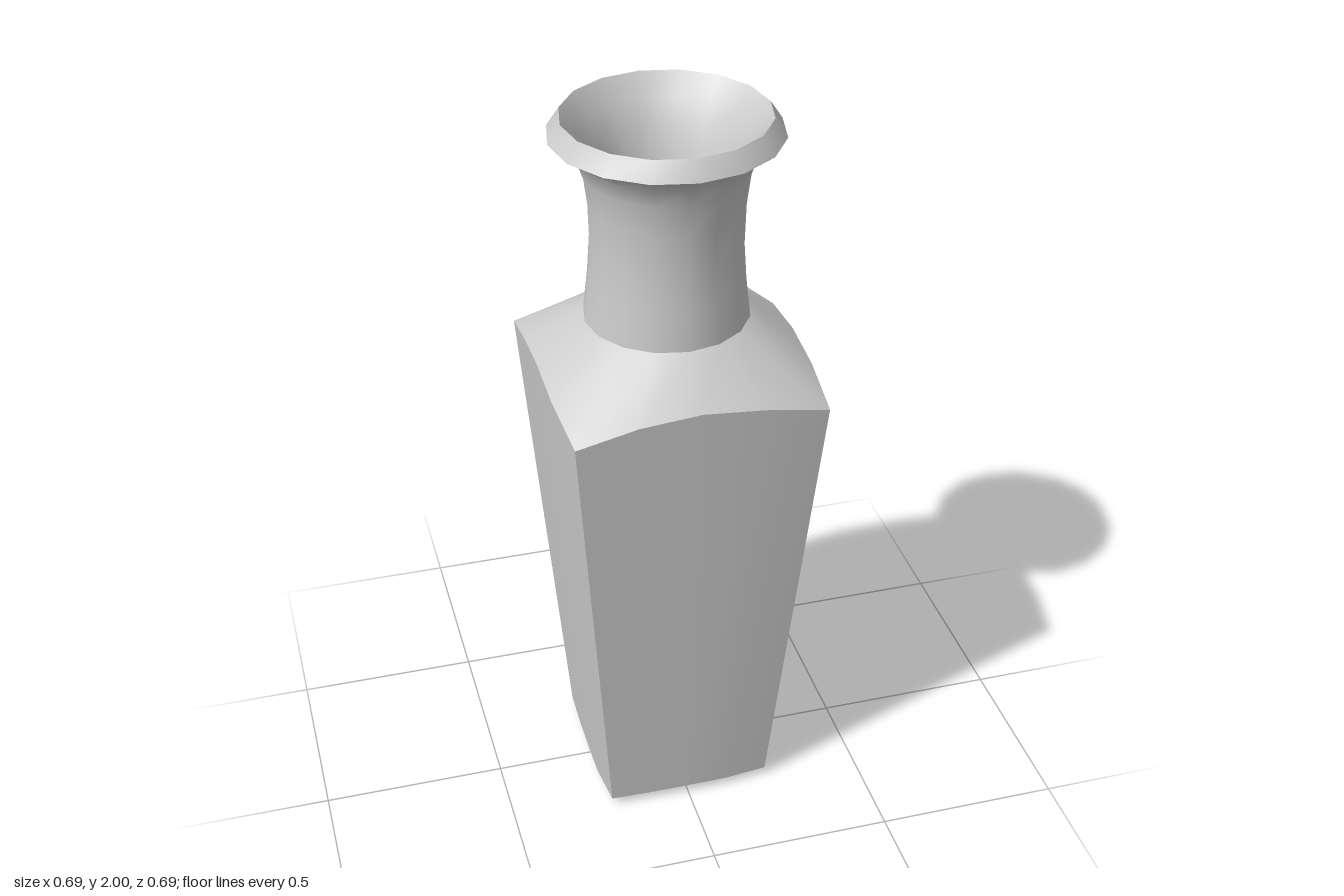
import * as THREE from 'three';
import { toCreasedNormals } from 'three/addons/utils/BufferGeometryUtils.js';

const SIDES = 16;

// Round cross-section
function round(r, y) {
  return Array.from({ length: SIDES }, (_, i) => {
    const a = (i / SIDES) * Math.PI * 2;
    return new THREE.Vector3(Math.sin(a) * r, y, Math.cos(a) * r);
  });
}

// Slightly bulging, slightly skewed square cross-section; drop lowers the corners
function square(scale, y, drop = 0) {
  const quarter = [[0.343, 0, 0], [0.342, 0.162, 0.27], [0.323, 0.337, 1], [0.162, 0.342, 0.27]];
  return Array.from({ length: SIDES }, (_, i) => {
    const [out, along, low] = quarter[i % 4];
    const a = Math.floor(i / 4) * Math.PI / 2;
    const s = Math.sin(a), c = Math.cos(a);
    return new THREE.Vector3((s * out + c * along) * scale, y - low * drop, (c * out - s * along) * scale);
  });
}

// Skin a stack of cross-sections, keeping sharp edges
function loft(rings) {
  const pos = [];
  const tri = (a, b, c) => {
    if (a.distanceTo(b) > 1e-6 && b.distanceTo(c) > 1e-6 && c.distanceTo(a) > 1e-6) {
      for (const p of [a, b, c]) pos.push(p.x, p.y, p.z);
    }
  };
  for (let k = 0; k < rings.length - 1; k++) {
    for (let i = 0; i < SIDES; i++) {
      const j = (i + 1) % SIDES, lo = rings[k], hi = rings[k + 1];
      tri(lo[i], lo[j], hi[j]);
      tri(lo[i], hi[j], hi[i]);
    }
  }
  const g = new THREE.BufferGeometry();
  g.setAttribute('position', new THREE.Float32BufferAttribute(pos, 3));
  return toCreasedNormals(g, 0.65);
}

export function createModel() {
  const group = new THREE.Group();
  group.name = 'vase';
  const clay = new THREE.MeshStandardMaterial({ color: 0xcccccc });
  clay.name = 'pale grey clay';

  const add = (name, rings) => {
    const mesh = new THREE.Mesh(loft(rings), clay);
    mesh.name = name;
    group.add(mesh);
  };

  const foot = square(0.69, 0.025);
  const bodyTop = square(1, 1.35, 0.055);
  const neckBase = round(0.215, 1.455);
  const lipEdge = round(0.295, 1.952);
  const lipTop = round(0.263, 2);

  // Shallow domed underside
  add('underside', [round(0, 0), square(0.33, 0.003), foot]);
  // Four tapering panels
  add('body', [foot, bodyTop]);
  // Square-to-round transition
  add('shoulder', [bodyTop, neckBase]);
  // Waisted neck flaring out under the lip
  add('neck', [
    neckBase, round(0.203, 1.56), round(0.196, 1.66), round(0.199, 1.77),
    round(0.209, 1.85), round(0.226, 1.9), round(0.252, 1.93), lipEdge,
  ]);
  add('lip', [lipEdge, lipTop]);
  // Funnel mouth, throat and hollow inside
  add('throat', [
    lipTop, round(0.222, 1.95), round(0.187, 1.88), round(0.161, 1.8),
    round(0.146, 1.72), round(0.137, 1.64), round(0.142, 1.55), round(0.155, 1.44),
  ]);
  add('interior', [round(0.155, 1.44), square(0.84, 1.3, 0.05), square(0.56, 0.08), round(0, 0.08)]);

  return group;
}
